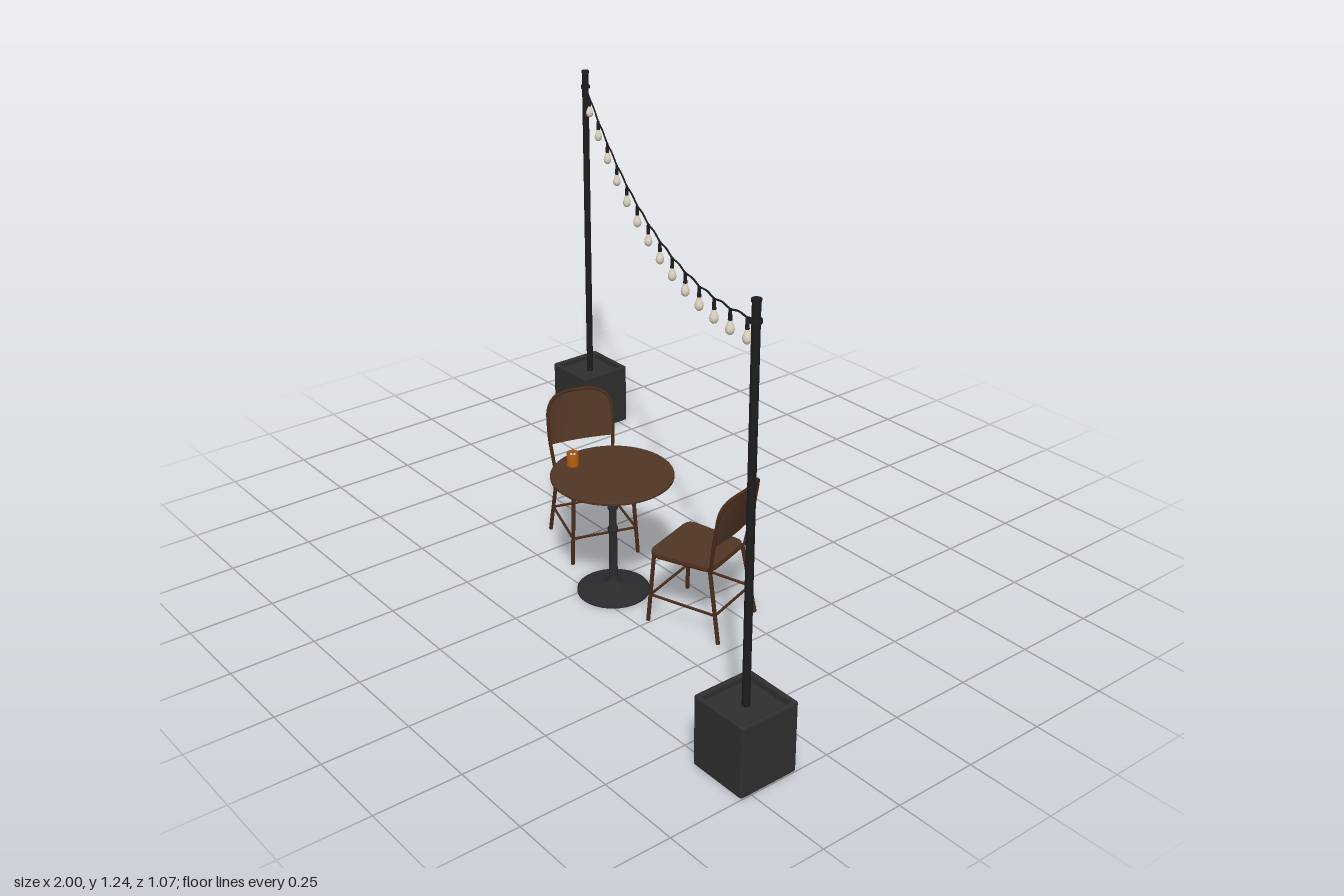
import * as THREE from 'three';

const mat = (name, color, side = THREE.FrontSide) => {
  const m = new THREE.MeshStandardMaterial({ color, side });
  m.name = name;
  return m;
};
const V = (x, y, z) => new THREE.Vector3(x, y, z);

export function createModel() {
  const wood = mat('brown wood', 0x503525);
  const frame = mat('dark bronze frame', 0x482b1a);
  const black = mat('black metal', 0x1d1d1f);
  const iron = mat('cast iron', 0x292b2d);
  const stone = mat('charcoal planter', 0x2f2f30);
  const glass = mat('bulb glass', 0xddd3c0);
  const amber = mat('amber glass', 0xb8600f, THREE.DoubleSide);
  const wax = mat('candle wax', 0xe6d3b0);

  const root = new THREE.Group();
  root.name = 'patioSet';

  const add = (parent, name, geo, material, x = 0, y = 0, z = 0) => {
    const mesh = new THREE.Mesh(geo, material);
    mesh.name = name;
    mesh.position.set(x, y, z);
    parent.add(mesh);
    return mesh;
  };
  const group = (name, x = 0, y = 0, z = 0) => {
    const g = new THREE.Group();
    g.name = name;
    g.position.set(x, y, z);
    root.add(g);
    return g;
  };
  // Straight round bar between two points
  const rod = (parent, name, a, b, r, material) => {
    const d = b.clone().sub(a);
    const mesh = add(parent, name, new THREE.CylinderGeometry(r, r, d.length(), 10), material);
    mesh.position.copy(a).add(b).multiplyScalar(0.5);
    mesh.quaternion.setFromUnitVectors(V(0, 1, 0), d.normalize());
    return mesh;
  };
  const lathe = (pts, n = 32) => new THREE.LatheGeometry(pts.map(p => new THREE.Vector2(...p)), n);
  // Trapezoid outline with rounded corners: half widths at both ends, half depth
  const outline = (wFront, wBack, d, r, Type = THREE.Shape) => {
    const s = new Type();
    s.moveTo(-wFront + r, -d);
    s.lineTo(wFront - r, -d);
    s.quadraticCurveTo(wFront, -d, wFront, -d + r);
    s.lineTo(wBack, d - r);
    s.quadraticCurveTo(wBack, d, wBack - r, d);
    s.lineTo(-wBack + r, d);
    s.quadraticCurveTo(-wBack, d, -wBack, d - r);
    s.lineTo(-wFront, -d + r);
    s.quadraticCurveTo(-wFront, -d, -wFront + r, -d);
    return s;
  };
  const slab = (shape, h, bevel) => {
    const g = new THREE.ExtrudeGeometry(shape, {
      depth: h - 2 * bevel, bevelSize: bevel, bevelThickness: bevel, bevelOffset: -bevel,
      bevelSegments: 2, curveSegments: 6,
    });
    return g.rotateX(-Math.PI / 2).translate(0, bevel, 0);
  };

  // Planters with a recessed fill, and the posts standing in them
  for (const s of [-1, 1]) {
    const p = group(s < 0 ? 'rightPost' : 'leftPost', s * 0.91, 0, s * 0.443);
    const wall = outline(0.09, 0.09, 0.09, 0.008);
    wall.holes.push(outline(0.076, 0.076, 0.076, 0.006, THREE.Path));
    add(p, 'planterWall', slab(wall, 0.203, 0.004), stone);
    add(p, 'planterFill', new THREE.BoxGeometry(0.158, 0.183, 0.158), stone, 0, 0.0925, 0);
    add(p, 'pole', new THREE.CylinderGeometry(0.0105, 0.0105, 1.06, 20), black, 0, 0.71, 0);
    add(p, 'poleCap', new THREE.CylinderGeometry(0.012, 0.012, 0.008, 20), black, 0, 1.236, 0);
    add(p, 'poleCollar', new THREE.CylinderGeometry(0.0145, 0.0145, 0.01, 20), black, 0, 1.187, 0);
  }

  // Sagging wire with hanging bulbs
  const lights = group('stringLights');
  const pitch = 0.1307;
  const wireAt = x => V(x, 1.04 + 0.15 * (x / 0.91) ** 2 + 0.0025 * Math.cos((2 * Math.PI * x) / pitch), x * 0.487);
  const wirePts = [];
  for (let i = 0; i <= 112; i++) wirePts.push(wireAt(-0.905 + (1.81 * i) / 112));
  add(lights, 'wire', new THREE.TubeGeometry(new THREE.CatmullRomCurve3(wirePts), 168, 0.0026, 6), black);
  const bulbGeo = lathe([[0, -0.038], [0.005, -0.0365], [0.0095, -0.032], [0.0115, -0.025],
    [0.0105, -0.018], [0.0075, -0.01], [0.005, -0.004], [0.0045, 0]], 16);
  const socketGeo = new THREE.CylinderGeometry(0.0042, 0.0055, 0.028, 12);
  for (let i = 0; i < 14; i++) {
    const p = wireAt((i - 6.5) * pitch);
    add(lights, 'socket', socketGeo, black, p.x, p.y - 0.014, p.z);
    add(lights, 'bulb', bulbGeo, glass, p.x, p.y - 0.027, p.z);
  }

  // Round pedestal table
  const table = group('table', 0.05, 0, 0.19);
  add(table, 'tableTop', lathe([[0, 0.368], [0.171, 0.368], [0.171, 0.368], [0.175, 0.371], [0.175, 0.371],
    [0.175, 0.377], [0.175, 0.377], [0.172, 0.38], [0.172, 0.38], [0, 0.38]], 64), wood);
  add(table, 'pedestalBase', lathe([[0, 0], [0.105, 0], [0.105, 0], [0.105, 0.006], [0.1, 0.009], [0.07, 0.015],
    [0.04, 0.021], [0.023, 0.028], [0.016, 0.038], [0.014, 0.05]], 48), iron);
  add(table, 'column', lathe([[0.013, 0.04], [0.012, 0.19], [0.015, 0.197], [0.015, 0.204], [0.011, 0.212],
    [0.011, 0.262], [0.015, 0.268], [0.015, 0.276], [0.011, 0.284], [0.011, 0.335], [0.017, 0.35], [0.02, 0.368]], 24), iron);
  for (const a of [0, Math.PI / 2]) {
    const arm = new THREE.Shape([[-0.095, 0.368], [-0.095, 0.361], [-0.03, 0.349], [0.03, 0.349], [0.095, 0.361], [0.095, 0.368]]
      .map(p => new THREE.Vector2(...p)));
    const g = new THREE.ExtrudeGeometry(arm, { depth: 0.016, bevelEnabled: false }).translate(0, 0, -0.008);
    add(table, 'supportArm', g, iron).rotation.y = a;
  }

  // Candle in an amber glass
  const candle = group('candle', -0.055, 0.38, 0.25);
  add(candle, 'glassCup', lathe([[0, 0.001], [0.015, 0.001], [0.017, 0.004], [0.017, 0.042], [0.015, 0.042], [0.015, 0.03]], 24), amber);
  add(candle, 'wax', new THREE.CylinderGeometry(0.0095, 0.0095, 0.034, 20), wax, 0, 0.019, 0);
  add(candle, 'wick', new THREE.CylinderGeometry(0.0018, 0.0018, 0.018, 8), amber, 0, 0.045, 0);

  // Chair facing local +z; the back leans and curves around the sitter
  const backZ = (s, y) => -0.098 - 0.16 * (y - 0.22) - 0.1 * (y - 0.22) * (1 - s * s);
  const archTop = s => 0.385 + 0.06 * Math.pow(Math.max(0, 1 - Math.abs(s) ** 4), 0.5);
  const halfW = 0.098;
  const panelGeo = () => {
    const g = new THREE.BoxGeometry(2, 1, 0.006, 28, 8, 1);
    const p = g.attributes.position;
    for (let i = 0; i < p.count; i++) {
      const s = Math.sin((p.getX(i) * Math.PI) / 2);
      const y = 0.3 + (p.getY(i) + 0.5) * (archTop(s) - 0.3);
      p.setXYZ(i, s * halfW, y, backZ(s, y) + p.getZ(i));
    }
    g.computeVertexNormals();
    return g;
  };
  const chair = (name, x, z, fx, fz) => {
    const c = group(name, x, 0, z);
    c.rotation.y = Math.atan2(fx, fz);
    add(c, 'seat', slab(outline(0.104, 0.092, 0.098, 0.03), 0.012, 0.004), wood, 0, 0.214, 0);
    const rim = outline(0.1, 0.09, 0.095, 0.03).getPoints(6).slice(0, -1).map(p => V(p.x, 0.213, -p.y));
    add(c, 'seatRim', new THREE.TubeGeometry(new THREE.CatmullRomCurve3(rim, true), 64, 0.005, 8, true), frame);
    add(c, 'backPanel', panelGeo(), wood);

    const hoop = [];
    for (let i = 0; i <= 24; i++) {
      const s = Math.sin(((i / 12 - 1) * Math.PI) / 2);
      hoop.push(V(s * (halfW + 0.003), archTop(s) + 0.002, backZ(s, archTop(s))));
    }
    const post = s => [0.213, 0.26, 0.32].map(y => V(s * (0.09 + 0.011 * Math.min(1, (y - 0.213) / 0.1)), y, backZ(1, y)));
    const path = [...post(-1), ...hoop, ...post(1).reverse()];
    add(c, 'backHoop', new THREE.TubeGeometry(new THREE.CatmullRomCurve3(path), 90, 0.0055, 8), frame);

    // Splayed legs joined by low stretchers
    const ends = (s, front) => front
      ? [V(s * 0.092, 0.214, 0.085), V(s * 0.103, 0, 0.098)]
      : [V(s * 0.086, 0.214, -0.092), V(s * 0.1, 0, -0.13)];
    const at = (s, front, y) => {
      const [a, b] = ends(s, front);
      return b.lerp(a, y / 0.214);
    };
    for (const s of [-1, 1]) {
      rod(c, 'frontLeg', ...ends(s, true), 0.0058, frame);
      rod(c, 'backLeg', ...ends(s, false), 0.0058, frame);
      rod(c, 'sideStretcher', at(s, true, 0.083), at(s, false, 0.083), 0.0038, frame);
    }
    for (const f of [true, false]) rod(c, 'crossStretcher', at(-1, f, 0.083), at(1, f, 0.083), 0.0038, frame);
  };
  chair('rightChair', -0.2, 0.07, 0.95, 0.31);
  chair('leftChair', 0.302, 0.085, -0.95, 0.31);

  return root;
}
